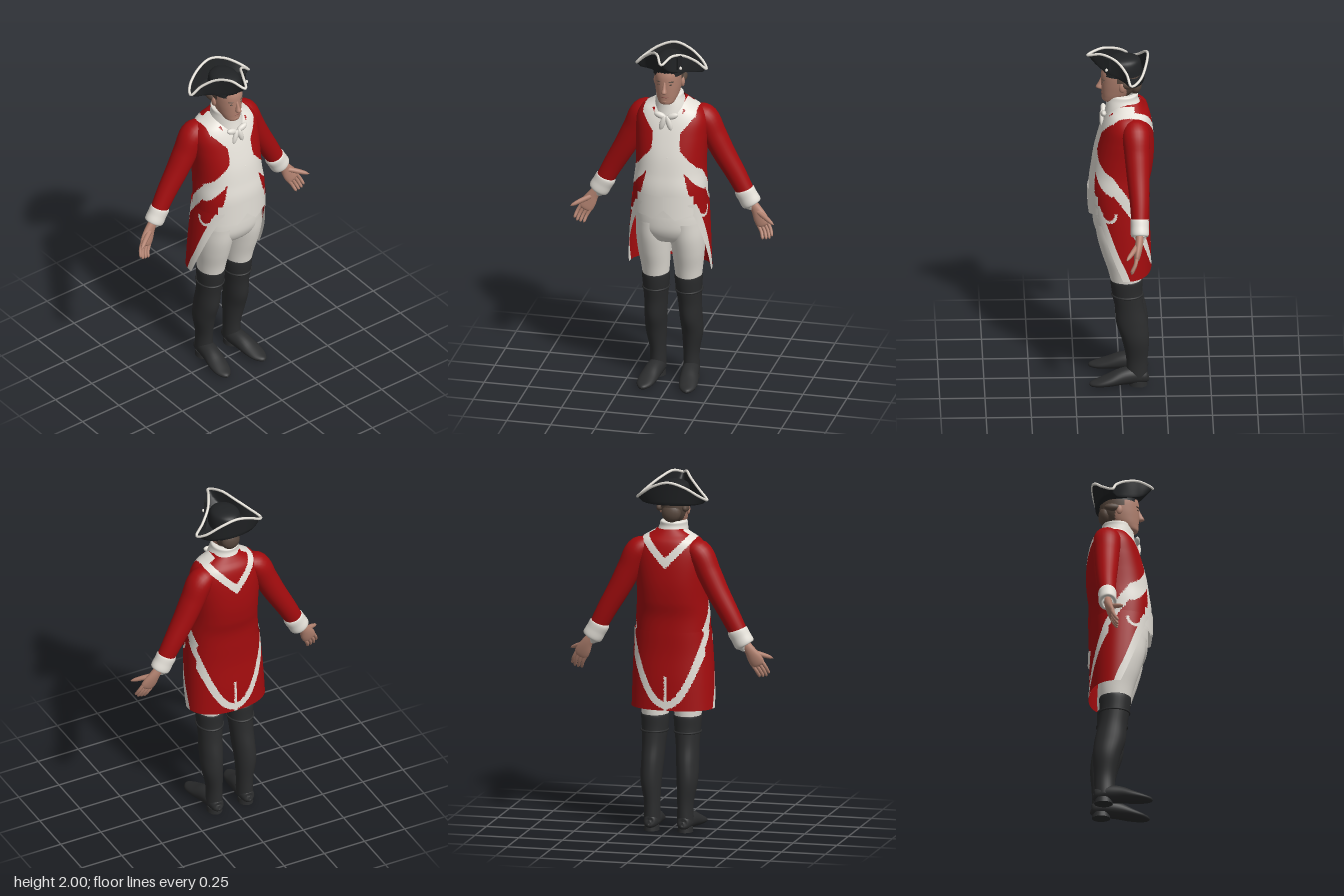
import * as THREE from 'three';

const mat = (name, color, side = THREE.FrontSide) => {
  const m = new THREE.MeshStandardMaterial({ color, side });
  m.name = name;
  return m;
};
const V = (x, y, z) => new THREE.Vector3(x, y, z);

export function createModel() {
  const root = new THREE.Group();
  root.name = 'soldier';
  const red = mat('red cloth', 0xa30c0e, THREE.DoubleSide);
  const white = mat('white cloth', 0xe4e0d8, THREE.DoubleSide);
  const felt = mat('black felt', 0x212325, THREE.DoubleSide);
  const leather = mat('boot leather', 0x2b2c2d);
  const skin = mat('skin', 0xb28270);
  const hair = mat('brown hair', 0x57473d);
  const lip = mat('lips', 0x935c51);

  const add = (name, geo, m) => {
    const mesh = new THREE.Mesh(geo, m);
    mesh.name = name;
    root.add(mesh);
    return mesh;
  };
  const ball = (name, m, pos, scale) => {
    const b = add(name, new THREE.SphereGeometry(1, 16, 12), m);
    b.position.set(...pos);
    b.scale.set(...scale);
    return b;
  };

  // Smooth grid surface; paint(x, y, z, u) picks a material index per face
  function surface(name, mats, fn, nu, nv, closed, paint = () => 0) {
    const pts = [], cols = closed ? nu : nu + 1;
    for (let i = 0; i <= nv; i++)
      for (let j = 0; j < cols; j++) pts.push(fn(j / nu, i / nv));
    const faces = mats.map(() => []);
    for (let i = 0; i < nv; i++)
      for (let j = 0; j < nu; j++) {
        const k = (j + 1) % cols;
        const a = i * cols + j, b = i * cols + k, c = a + cols, d = b + cols;
        for (const t of [[a, b, c], [b, d, c]]) {
          const m = V(0, 0, 0);
          t.forEach(q => m.addScaledVector(pts[q], 1 / 3));
          faces[paint(m.x, m.y, m.z, (j + 0.5) / nu)].push(...t);
        }
      }
    const geo = new THREE.BufferGeometry().setFromPoints(pts);
    geo.setIndex(faces.flat());
    let start = 0;
    faces.forEach((f, i) => { geo.addGroup(start, f.length, i); start += f.length; });
    geo.computeVertexNormals();
    return add(name, geo, mats);
  }

  // Loft through rows of [x, y, z, radiusA, radiusB]
  function loft(name, mats, rows, { ref = V(0, 0, 1), flat = false, p = 1, gap, paint, nu = 28, nv = 28 } = {}) {
    const path = new THREE.CatmullRomCurve3(rows.map(r => V(r[0], r[1], r[2])), false, 'catmullrom');
    const size = new THREE.CatmullRomCurve3(rows.map(r => V(r[3], r[4], 0)), false, 'catmullrom');
    const dir = Math.sign(rows[rows.length - 1][1] - rows[0][1]);
    const pw = c => Math.sign(c) * Math.abs(c) ** p;
    return surface(name, mats, (u, v) => {
      const T = flat ? V(0, dir, 0) : path.getTangent(v);
      const U = ref.clone().cross(T).normalize(), W = T.clone().cross(U), s = size.getPoint(v);
      const g = gap ? gap(v) : 0, t = Math.PI / 2 + g + u * 2 * (Math.PI - g);
      return path.getPoint(v).addScaledVector(U, s.x * pw(Math.cos(t))).addScaledVector(W, s.y * pw(Math.sin(t)));
    }, nu, nv, !gap, paint);
  }

  // Crossed belts on the chest, running round the hips into the tail bands
  function onBelt(x, y, z) {
    const ax = Math.abs(x);
    if (z > 0.04) return Math.min(Math.abs(y - 1.49 + 1.21 * ax), Math.abs(y - 1.49 - 1.21 * ax)) / 1.57 < 0.031;
    if (z > -0.08) return Math.abs(y - 1.2 - 1.42 * z) / 1.74 < 0.029 || (y > 1.6 && Math.abs(ax - 0.115) < 0.035);
    const tail = Math.abs(y - 0.72 - 8.3 * ax * ax) / Math.hypot(1, 16.6 * ax) < 0.02;
    return tail || (y > 1.46 && Math.abs(y - 1.52 - 1.05 * ax) / 1.45 < 0.021);
  }
  // Scalloped pocket flap edging
  const onPocket = (x, y, z) => {
    const r = Math.hypot((z - 0.065) / 0.045, (y - 1.095) / 0.055);
    return Math.abs(x) > 0.13 && y < 1.1 && r > 0.72 && r < 1.05;
  };

  // Coat body with the waistcoat showing in its opening
  loft('coatBody', [red, white], [
    [0, 1.05, 0.005, 0.21, 0.163], [0, 1.2, 0.005, 0.205, 0.167], [0, 1.3, -0.01, 0.196, 0.17],
    [0, 1.4, -0.022, 0.196, 0.167], [0, 1.5, -0.033, 0.2, 0.153], [0, 1.58, -0.04, 0.198, 0.135],
    [0, 1.635, -0.045, 0.172, 0.115], [0, 1.67, -0.045, 0.12, 0.09], [0, 1.7, -0.045, 0.07, 0.07],
  ], {
    flat: true, p: 0.88, nu: 144, nv: 110,
    paint: (x, y, z) => {
      const vest = z > 0 && Math.abs(x) < 0.08 + Math.max(0, 1.42 - y) * 0.24;
      return vest || onBelt(x, y, z) || onPocket(x, y, z) ? 1 : 0;
    },
  });

  // Coat skirt, cut away at the front, with turned-back edges and a back vent
  loft('coatSkirt', [red, white], [
    [0, 1.13, 0.004, 0.213, 0.17], [-0.003, 1.0, -0.002, 0.222, 0.162],
    [-0.006, 0.85, -0.01, 0.229, 0.161], [-0.008, 0.69, -0.02, 0.234, 0.155],
  ], {
    flat: true, p: 0.88, nu: 130, nv: 60, gap: v => 0.6 + 0.95 * v,
    paint: (x, y, z, u) => {
      const edge = Math.min(u, 1 - u) < 0.065, vent = z < 0 && Math.abs(x) < 0.008 && y < 0.88;
      return edge || vent || onBelt(x, y, z) || onPocket(x, y, z) ? 1 : 0;
    },
  });

  // Breeches seat
  loft('breechesSeat', [white], [
    [0, 1.14, 0, 0.19, 0.15], [0, 1.02, 0, 0.196, 0.152], [0, 0.94, 0.005, 0.185, 0.135],
    [0, 0.88, 0, 0.13, 0.1], [0, 0.86, 0, 0.03, 0.03],
  ], { flat: true, p: 0.9, nu: 48 });

  // Waistcoat points and buttons
  for (const s of [-1, 1])
    surface('waistcoatPoint', [white], (u, v) => {
      const x = s * u * 0.16, end = u < 0.4 ? 1.1 - u * 0.15 : 1.04 + (u - 0.4) * 0.05;
      return V(x, 1.18 + (end - 1.18) * v, 0.002 + 0.177 * (1 - (x / 0.215) ** 2) ** 0.45);
    }, 20, 8, false);
  for (let i = 0; i < 6; i++)
    ball('waistcoatButton', white, [0.012, 1.15 + i * 0.05, 0.172 - i * 0.0065], [0.008, 0.008, 0.006]);

  // Stock and neckcloth
  loft('collar', [white], [
    [0, 1.6, -0.02, 0.1, 0.11], [-0.002, 1.66, -0.022, 0.092, 0.1], [-0.008, 1.71, -0.016, 0.078, 0.086],
    [-0.01, 1.735, -0.02, 0.073, 0.08], [-0.01, 1.74, -0.02, 0.05, 0.06],
  ], { flat: true, nu: 36 });
  for (const s of [-1, 1]) {
    ball('neckclothBow', white, [s * 0.034 - 0.005, 1.63, 0.09], [0.036, 0.018, 0.016]).rotation.z = s * 0.35;
    ball('neckclothTail', white, [s * 0.018 - 0.005, 1.59, 0.1], [0.016, 0.045, 0.012]).rotation.z = s * 0.3;
  }

  // Arms: sleeve, cuff, hand
  for (const s of [-1, 1]) {
    const side = rows => rows.map(([x, ...r]) => [s * x, ...r]);
    loft('sleeve', [red], side([
      [0.1, 1.6, -0.08, 0.04, 0.05], [0.172, 1.575, -0.085, 0.07, 0.075], [0.225, 1.47, -0.09, 0.068, 0.07],
      [0.28, 1.36, -0.095, 0.063, 0.063], [0.35, 1.235, -0.1, 0.056, 0.053], [0.405, 1.13, -0.1, 0.05, 0.045],
    ]));
    loft('cuff', [white], side([
      [0.388, 1.16, -0.1, 0.044, 0.04], [0.393, 1.148, -0.1, 0.057, 0.05], [0.412, 1.115, -0.1, 0.057, 0.05],
      [0.436, 1.072, -0.1, 0.055, 0.048], [0.44, 1.066, -0.1, 0.02, 0.02],
    ]));
    loft('palm', [skin], side([
      [0.43, 1.085, -0.1, 0.026, 0.022], [0.463, 1.04, -0.096, 0.031, 0.022],
      [0.488, 0.995, -0.088, 0.041, 0.02], [0.507, 0.96, -0.08, 0.038, 0.015], [0.512, 0.95, -0.078, 0.01, 0.004],
    ]), { nu: 20, nv: 16 });
    for (let k = -1.5; k <= 1.5; k++) {
      const x = 0.503 + k * 0.017, y = 0.966 + k * 0.009, len = 0.082 - Math.abs(k - 0.3) * 0.007;
      loft('finger', [skin], side([
        [x, y, -0.082, 0.01, 0.011], [x + len * 0.27, y - len * 0.48, -0.072, 0.0095, 0.0095],
        [x + len * 0.42, y - len * 0.9, -0.055, 0.008, 0.008], [x + len * 0.44, y - len, -0.05, 0.001, 0.001],
      ]), { nu: 10, nv: 10 });
    }
    loft('thumb', [skin], side([
      [0.475, 1.03, -0.085, 0.014, 0.014], [0.52, 1.012, -0.06, 0.014, 0.014],
      [0.56, 0.995, -0.035, 0.01, 0.01], [0.578, 0.987, -0.025, 0.001, 0.001],
    ]), { nu: 10, nv: 10 });

    // Legs: breeches, boot shaft, foot, heel
    loft('thigh', [white], side([
      [0.095, 1.0, 0.015, 0.095, 0.125], [0.097, 0.9, 0.005, 0.096, 0.12], [0.097, 0.8, -0.01, 0.09, 0.108],
      [0.094, 0.7, -0.028, 0.08, 0.094], [0.093, 0.61, -0.035, 0.07, 0.08],
    ]), { flat: true });
    loft('bootShaft', [leather], side([
      [0.093, 0.635, -0.035, 0.06, 0.07], [0.093, 0.645, -0.035, 0.077, 0.088], [0.093, 0.57, -0.038, 0.073, 0.084],
      [0.096, 0.48, -0.05, 0.065, 0.08], [0.1, 0.38, -0.065, 0.062, 0.086], [0.103, 0.28, -0.085, 0.058, 0.075],
      [0.095, 0.16, -0.093, 0.045, 0.059], [0.095, 0.05, -0.093, 0.046, 0.058],
    ]), { flat: true, nv: 40 });
    const band = add('bootStrap', new THREE.TorusGeometry(0.072, 0.006, 8, 32), leather);
    band.position.set(s * 0.094, 0.555, -0.04);
    band.rotation.x = Math.PI / 2;
    band.scale.y = 1.15;
    loft('foot', [leather], side([
      [0.095, 0.05, -0.157, 0.005, 0.01], [0.095, 0.05, -0.145, 0.034, 0.035], [0.096, 0.06, -0.08, 0.047, 0.05],
      [0.104, 0.055, -0.01, 0.05, 0.047], [0.115, 0.038, 0.06, 0.053, 0.033], [0.122, 0.026, 0.12, 0.045, 0.021],
      [0.126, 0.02, 0.16, 0.022, 0.013], [0.127, 0.018, 0.172, 0.001, 0.001],
    ]), { ref: V(0, 1, 0) });
    const heel = add('heel', new THREE.CylinderGeometry(0.04, 0.043, 0.03, 20), leather);
    heel.position.set(s * 0.096, 0.015, -0.1);
    heel.scale.z = 1.2;
  }

  // Head with hair at the back
  const cx = -0.012;
  loft('head', [skin, hair], [
    [cx, 1.692, 0.06, 0.012, 0.012], [cx, 1.7, 0.052, 0.04, 0.043], [cx, 1.73, 0.025, 0.058, 0.074],
    [cx, 1.77, 0.005, 0.069, 0.097], [cx, 1.81, -0.005, 0.076, 0.108], [cx, 1.86, -0.006, 0.079, 0.108],
    [cx, 1.9, -0.01, 0.075, 0.1],
  ], {
    flat: true, p: 0.94, nu: 64, nv: 40,
    paint: (x, y, z) => (z < -0.035 && y > 1.735) || (z < 0.015 && y > 1.825) ? 1 : 0,
  });
  loft('nose', [skin], [
    [cx, 1.835, 0.095, 0.007, 0.008], [cx, 1.8, 0.106, 0.01, 0.014],
    [cx, 1.775, 0.112, 0.016, 0.02], [cx, 1.762, 0.1, 0.008, 0.008],
  ], { flat: true, nu: 16, nv: 12 });
  ball('mouth', lip, [cx, 1.742, 0.092], [0.024, 0.006, 0.01]);
  ball('chin', skin, [cx, 1.715, 0.08], [0.026, 0.018, 0.02]);
  for (const s of [-1, 1]) {
    ball('eye', hair, [cx + s * 0.031, 1.817, 0.092], [0.011, 0.004, 0.006]);
    ball('brow', hair, [cx + s * 0.033, 1.834, 0.09], [0.018, 0.004, 0.009]).rotation.y = s * 0.35;
    ball('ear', skin, [cx + s * 0.077, 1.8, -0.012], [0.011, 0.028, 0.018]);
    ball('hairCurl', hair, [cx + s * 0.074, 1.815, -0.05], [0.018, 0.022, 0.045]);
  }
  ball('hairBack', hair, [cx, 1.79, -0.085], [0.055, 0.055, 0.038]);

  // Cocked hat: crown, three-cornered turned-up brim, white edging
  loft('hatCrown', [felt], [
    [cx, 1.86, -0.012, 0.087, 0.112], [cx, 1.91, -0.015, 0.085, 0.105], [cx, 1.945, -0.02, 0.073, 0.09],
    [cx, 1.962, -0.025, 0.04, 0.05], [cx, 1.966, -0.025, 0.001, 0.001],
  ], { flat: true });
  const ring = half => {
    const back = half.slice(1, -1).reverse().map(([x, y, z]) => [-x, y, z]);
    return new THREE.CatmullRomCurve3([...half, ...back].map(([x, y, z]) => V(x + cx, y, z)), true, 'catmullrom');
  };
  const inner = ring([[0, 1.89, 0.1], [0.035, 1.885, 0.09], [0.065, 1.875, 0.05], [0.08, 1.865, 0],
    [0.084, 1.86, -0.04], [0.075, 1.855, -0.075], [0.045, 1.85, -0.1], [0, 1.85, -0.115]]);
  const fold = ring([[0, 1.93, 0.145], [0.042, 1.9, 0.1], [0.082, 1.878, 0.04], [0.125, 1.857, -0.022],
    [0.178, 1.85, -0.058], [0.145, 1.843, -0.1], [0.08, 1.84, -0.128], [0, 1.84, -0.138]]);
  const rim = ring([[0, 1.968, 0.178], [0.04, 1.99, 0.1], [0.085, 1.968, 0.02], [0.145, 1.92, -0.034],
    [0.198, 1.868, -0.06], [0.165, 1.895, -0.112], [0.09, 1.945, -0.143], [0, 1.972, -0.155]]);
  surface('hatBrim', [felt], (u, v) => v < 0.4
    ? inner.getPoint(u).lerp(fold.getPoint(u), v / 0.4)
    : fold.getPoint(u).lerp(rim.getPoint(u), (v - 0.4) / 0.6), 112, 10, true);
  add('hatEdging', new THREE.TubeGeometry(rim, 140, 0.0075, 8, true), white);
  const cockade = add('cockade', new THREE.BoxGeometry(0.032, 0.075, 0.012), felt);
  cockade.position.set(0.064, 1.945, 0.07);
  cockade.rotation.y = 1.05;
  ball('cockadeButton', white, [0.073, 1.915, 0.075], [0.008, 0.01, 0.008]);
  return root;
}
